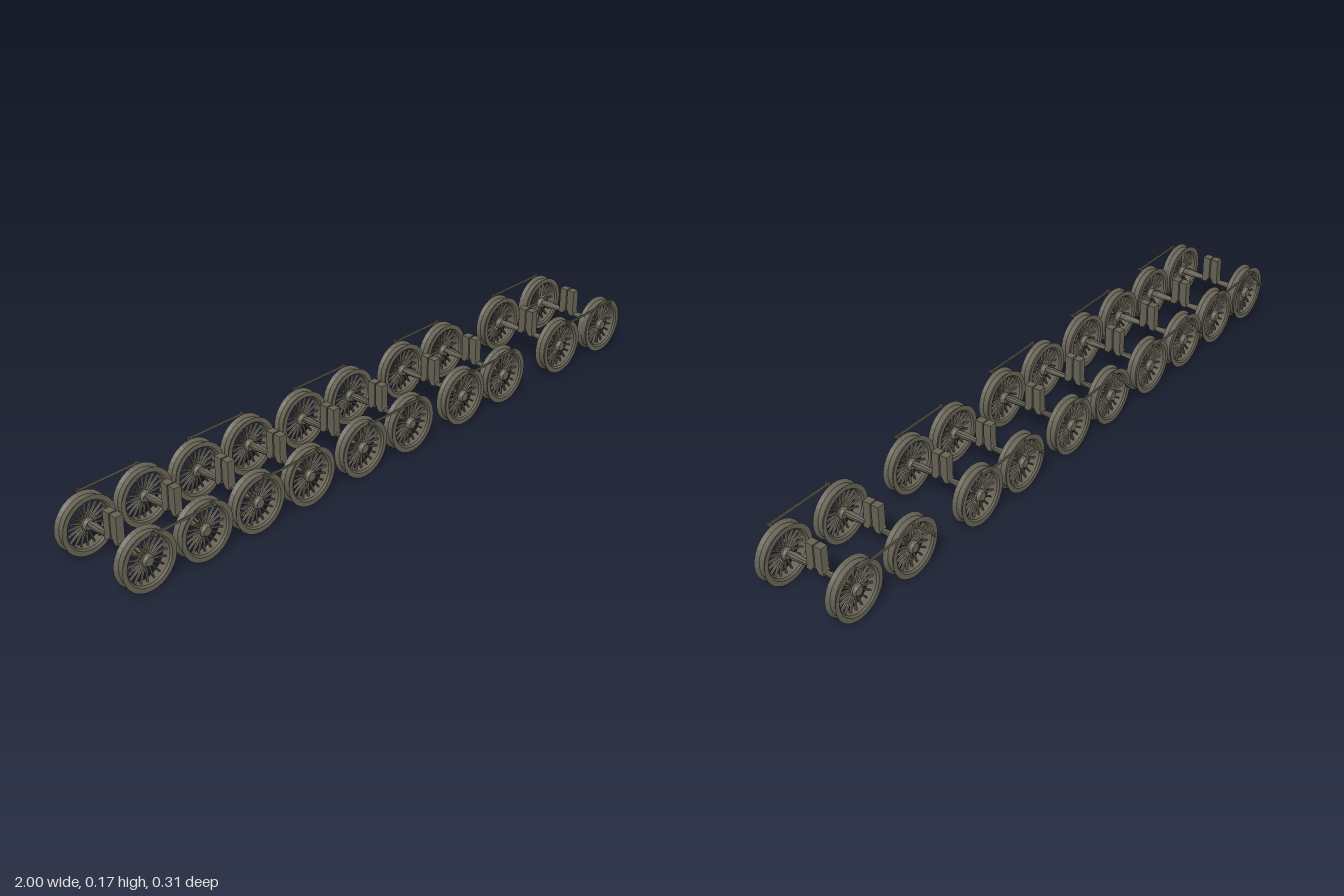
import * as THREE from 'three';
import { mergeGeometries } from 'three/addons/utils/BufferGeometryUtils.js';

const R = 0.085, AXLE_Y = 0.087, WHEEL_Z = 0.1175, SPOKES = 20;
const metal = new THREE.MeshStandardMaterial({ color: 0x666255, flatShading: true });

// Paired axle positions along the train
const PAIRS = [[-0.915, -0.73], [-0.55, -0.365], [-0.162, 0.03], [0.253, 0.438], [0.707, 0.915]];

// Grooved rim: closed profile turned round the z axis
function rimGeometry() {
  const profile = [
    [0.066, -0.013], [0.071, -0.0175], [R, -0.0175], [0.077, -0.008], [0.077, 0.008],
    [R, 0.0175], [0.071, 0.0175], [0.066, 0.013], [0.066, -0.013],
  ].map(([r, z]) => new THREE.Vector2(r, z));
  return new THREE.LatheGeometry(profile, 32).rotateX(Math.PI / 2);
}

// Tapered spokes radiating from the hub
function spokeGeometry() {
  const list = [];
  for (let i = 0; i < SPOKES; i++) {
    const g = new THREE.CylinderGeometry(0.0022, 0.003, 0.058, 6);
    g.scale(1, 1, 2).translate(0, 0.039, 0).rotateZ((i / SPOKES) * Math.PI * 2);
    list.push(g);
  }
  return mergeGeometries(list);
}

function hubGeometry() {
  const profile = [[0, -0.0175], [0.013, -0.0175], [0.018, -0.01], [0.018, 0.01], [0.013, 0.0175], [0, 0.0175]]
    .map(([r, z]) => new THREE.Vector2(r, z));
  return new THREE.LatheGeometry(profile, 16).rotateX(Math.PI / 2);
}

// Half shaft, swelling towards the wheel; runs along +z
function shaftGeometry() {
  const profile = [[0, 0.012], [0.006, 0.012], [0.0115, 0.08], [0.008, 0.102], [0, 0.102]]
    .map(([r, z]) => new THREE.Vector2(r, z));
  return new THREE.LatheGeometry(profile, 10).rotateX(Math.PI / 2);
}

// Upright web at the inner end of a half shaft, outlined in z and y
function webGeometry(side) {
  const outline = [[0.002, 0.083], [0.002, 0.018], [0.013, 0], [0.028, 0.0005], [0.028, 0.011], [0.026, 0.014], [0.026, 0.083]];
  const shape = new THREE.Shape(outline.map(([z, y]) => new THREE.Vector2(-z * side, y)));
  const g = new THREE.ExtrudeGeometry(shape, { depth: 0.024, bevelEnabled: false });
  return g.translate(0, 0, -0.012).rotateY(Math.PI / 2).translate(0, 0, 0);
}

const GEO = { rim: rimGeometry(), spokes: spokeGeometry(), hub: hubGeometry(), shaft: shaftGeometry() };
const pinGeo = mergeGeometries([
  new THREE.CylinderGeometry(0.003, 0.003, 0.012, 8).rotateX(Math.PI / 2),
  new THREE.CylinderGeometry(0.0055, 0.0055, 0.003, 8).rotateX(Math.PI / 2).translate(0, 0, 0.0045),
  new THREE.CylinderGeometry(0.0055, 0.0055, 0.003, 8).rotateX(Math.PI / 2).translate(0, 0, -0.0045),
]);

function part(name, geometry, parent, x = 0, y = 0, z = 0) {
  const mesh = new THREE.Mesh(geometry, metal);
  mesh.name = name;
  mesh.position.set(x, y, z);
  parent.add(mesh);
  return mesh;
}

// Flat bar between two points in a plane of constant z
function bar(name, parent, a, b, z, height, depth) {
  const length = Math.hypot(b[0] - a[0], b[1] - a[1]);
  const mesh = part(name, new THREE.BoxGeometry(length, height, depth), parent,
    (a[0] + b[0]) / 2, (a[1] + b[1]) / 2, z);
  mesh.rotation.z = Math.atan2(b[1] - a[1], b[0] - a[0]);
}

function wheelset(x) {
  const set = new THREE.Group();
  set.name = 'wheelset';
  set.position.set(x, AXLE_Y, 0);
  for (const side of [1, -1]) {
    const wheel = new THREE.Group();
    wheel.name = 'wheel';
    wheel.position.z = side * WHEEL_Z;
    part('rim', GEO.rim, wheel);
    part('spokes', GEO.spokes, wheel);
    part('hub', GEO.hub, wheel);
    set.add(wheel);
    const shaft = part('axleShaft', GEO.shaft, set, 0, 0.005, 0);
    if (side < 0) shaft.rotation.y = Math.PI;
    part('axleWeb', webGeometry(side), set);
  }
  return set;
}

export function createModel() {
  const model = new THREE.Group();
  model.name = 'wheelTrain';
  for (const [x1, x2] of PAIRS) {
    model.add(wheelset(x1), wheelset(x2));
    // Coupling rod across the wheel tops and the short link to the side pin
    for (const side of [1, -1]) {
      const linkage = new THREE.Group();
      linkage.name = 'linkage';
      const top = 0.167, low = [x1 - 0.068, 0.09];
      bar('couplingRod', linkage, [x1, top], [x2 + 0.015, top], side * 0.147, 0.006, 0.004);
      bar('linkRod', linkage, low, [x1 + 0.01, top], side * 0.142, 0.005, 0.004);
      part('lowerPin', pinGeo, linkage, low[0], low[1], side * 0.139);
      part('upperPin', pinGeo, linkage, x1 + 0.01, top, side * 0.147);
      part('endPin', pinGeo, linkage, x2 + 0.012, top, side * 0.147);
      model.add(linkage);
    }
  }
  return model;
}
